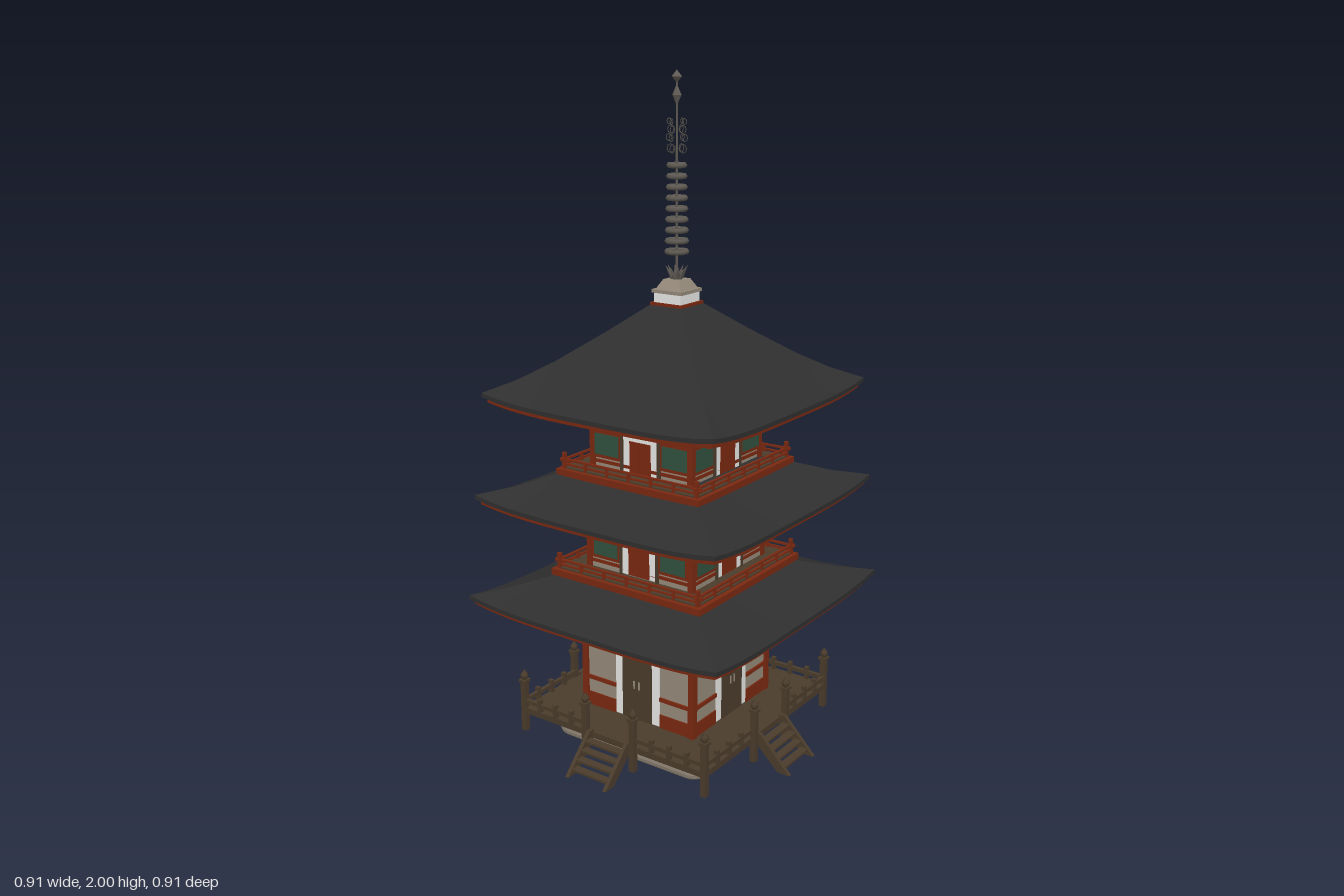
import * as THREE from 'three';
import { toCreasedNormals } from 'three/addons/utils/BufferGeometryUtils.js';

const mat = (name, color) => Object.assign(new THREE.MeshStandardMaterial({ color }), { name });
const tile = mat('roofTile', 0x2f2f30);
const red = mat('redLacquer', 0x7a2811);
const plaster = mat('tanPlaster', 0x958a7a);
const white = mat('whitePanel', 0xf2f2f0);
const wood = mat('darkWood', 0x4a3c2b);
const green = mat('greenWindow', 0x30503f);
const metal = mat('spireMetal', 0x5f5a53);
const soffitMat = mat('soffit', 0x6a645b);

function add(parent, name, geometry, material, x = 0, y = 0, z = 0) {
  const m = new THREE.Mesh(geometry, material);
  m.name = name;
  m.position.set(x, y, z);
  parent.add(m);
  return m;
}
// Box given by its bottom and top heights
function box(parent, name, material, w, y0, y1, d, x = 0, z = 0) {
  return add(parent, name, new THREE.BoxGeometry(w, y1 - y0, d), material, x, (y0 + y1) / 2, z);
}
// Repeats a part on all four sides; each side is built facing +z
function fourSides(parent, name, build) {
  for (let i = 0; i < 4; i++) {
    const side = new THREE.Group();
    side.name = name;
    side.rotation.y = i * Math.PI / 2;
    build(side, i);
    parent.add(side);
  }
}

// Four-sided shell from a [halfWidth, y] profile, with the corners swept up
function squareLoft(profile, max, lift) {
  const pos = [], index = [], n = 14;
  for (let s = 0; s < 4; s++) {
    const base = pos.length / 3, c = Math.cos(s * Math.PI / 2), d = Math.sin(s * Math.PI / 2);
    profile.forEach(([h, y]) => {
      for (let i = 0; i <= n; i++) {
        const u = 2 * i / n - 1, x = u * h;
        pos.push(x * c + h * d, y + lift * (h / max * Math.abs(u)) ** 4, h * c - x * d);
      }
    });
    for (let j = 0; j < profile.length - 1; j++) {
      for (let i = 0; i < n; i++) {
        const a = base + j * (n + 1) + i, e = a + n + 1;
        index.push(a, e, e + 1, a, e + 1, a + 1);
      }
    }
  }
  const g = new THREE.BufferGeometry();
  g.setAttribute('position', new THREE.Float32BufferAttribute(pos, 3));
  g.setIndex(index);
  return toCreasedNormals(g, 0.45);
}

function roof(parent, slope, wall, lift) {
  const g = new THREE.Group();
  g.name = 'roof';
  const [max, eave] = slope[slope.length - 1], b = eave - 0.013;
  add(g, 'roofTiles', squareLoft([...slope, [max, b], [max - 0.02, b]], max, lift), tile);
  add(g, 'soffit', squareLoft([[max - 0.02, b], [wall, b + 0.012]], max, lift), soffitMat);
  for (const [r, t] of [[max - 0.012, 0.014], [max - 0.05, 0.012]]) {
    add(g, 'eaveBeam', squareLoft([[r, b + 0.003], [r, b - t], [r - 0.016, b - t], [r - 0.016, b + 0.003]], max, lift), red);
  }
  // Stepped brackets below the eave
  fourSides(g, 'brackets', side => {
    for (const f of [-0.86, -0.3, 0.3, 0.86]) {
      for (let k = 0; k < 3; k++) {
        const y = b - 0.066 + k * 0.023, out = 0.03 + 0.035 * k, x = f * wall;
        box(side, 'bracketArm', red, 0.014, y, y + 0.012, out, x, wall + out / 2);
        box(side, 'bracketBlock', k === 1 ? plaster : red, 0.045 + 0.014 * k, y + 0.009, y + 0.019, 0.014, x, wall + out - 0.006);
      }
    }
    box(side, 'purlin', red, 2 * wall + 0.2, b - 0.012, b, 0.014, 0, wall + 0.1);
    // Diagonal arms and hip beam at the corner
    const corner = new THREE.Group();
    corner.name = 'cornerBrackets';
    corner.rotation.y = Math.PI / 4;
    side.add(corner);
    const start = wall * Math.SQRT2, end = (max - 0.03) * Math.SQRT2;
    for (let k = 0; k < 3; k++) {
      const len = 0.06 + 0.045 * k, y = b - 0.066 + k * 0.023;
      box(corner, 'cornerArm', red, 0.016, y, y + 0.013, len, 0, start + len / 2);
    }
    const hip = box(corner, 'hipBeam', red, 0.018, b - 0.012, b + 0.006, end - start, 0, (start + end) / 2);
    hip.rotation.x = -0.05;
  });
  parent.add(g);
}

function balcony(parent, half, y) {
  const g = new THREE.Group();
  g.name = 'balcony';
  box(g, 'balconySkirt', red, 2 * half, y, y + 0.02, 2 * half);
  box(g, 'balconyFloor', wood, 2 * half - 0.03, y + 0.02, y + 0.024, 2 * half - 0.03);
  fourSides(g, 'balconyRailing', side => {
    const z = half - 0.018;
    box(side, 'railLower', red, 2 * z, y + 0.03, y + 0.035, 0.007, 0, z);
    box(side, 'railUpper', red, 2 * z + 0.03, y + 0.044, y + 0.05, 0.008, 0, z);
    for (let i = -3; i < 3; i++) box(side, 'railPost', red, 0.008, y + 0.02, y + 0.047, 0.008, i * z / 3, z);
    box(side, 'railCornerPost', red, 0.011, y + 0.02, y + 0.068, 0.011, z, z);
  });
  parent.add(g);
}

function upperStorey(parent, w, y0, top, upperWall) {
  const g = new THREE.Group();
  g.name = 'upperStorey';
  box(g, 'wall', plaster, 2 * w, y0, y0 + 0.125, 2 * w);
  box(g, 'upperWall', upperWall, 2 * w - 0.004, y0 + 0.125, top, 2 * w - 0.004);
  fourSides(g, 'storeySide', side => {
    box(side, 'doorSurround', white, 0.125, y0 + 0.01, y0 + 0.118, 0.004, 0, w + 0.001);
    for (const s of [-1, 1]) {
      box(side, 'door', red, 0.037, y0 + 0.01, y0 + 0.107, 0.008, s * 0.0192, w + 0.001);
      box(side, 'windowFrame', red, 0.108, y0 + 0.038, y0 + 0.12, 0.008, s * 0.122, w);
      box(side, 'window', green, 0.088, y0 + 0.048, y0 + 0.112, 0.008, s * 0.122, w + 0.002);
      box(side, 'doorPost', wood, 0.01, y0, y0 + 0.12, 0.012, s * 0.066, w);
    }
    box(side, 'cornerColumn', red, 0.018, y0, top, 0.018, w - 0.003, w - 0.003);
    box(side, 'sillBeam', red, 2 * w, y0 + 0.022, y0 + 0.032, 0.01, 0.0, w - 0.002);
    box(side, 'lintelBeam', red, 2 * w + 0.02, y0 + 0.12, y0 + 0.132, 0.016, 0, w);
    box(side, 'friezeBeam', upperWall === red ? wood : red, 2 * w + 0.03, y0 + 0.142, y0 + 0.152, 0.016, 0, w);
  });
  parent.add(g);
}

function lowerStorey(parent) {
  const g = new THREE.Group(), w = 0.2;
  g.name = 'lowerStorey';
  box(g, 'wall', plaster, 2 * w, 0.09, 0.45, 2 * w);
  fourSides(g, 'storeySide', side => {
    box(side, 'doorSurround', white, 0.162, 0.1, 0.343, 0.004, 0, w + 0.001);
    for (const s of [-1, 1]) {
      box(side, 'door', wood, 0.053, 0.1, 0.325, 0.009, s * 0.0272, w + 0.002);
      box(side, 'doorHandle', plaster, 0.005, 0.2, 0.225, 0.014, s * 0.009, w + 0.002);
      box(side, 'midBeam', red, 0.12, 0.184, 0.196, 0.012, s * 0.142, w);
      box(side, 'baseBeam', red, 0.12, 0.09, 0.14, 0.01, s * 0.142, w - 0.001);
    }
    box(side, 'cornerColumn', red, 0.02, 0.09, 0.44, 0.02, w - 0.002, w - 0.002);
    box(side, 'lintelBeam', red, 2 * w + 0.015, 0.343, 0.357, 0.016, 0, w);
    box(side, 'friezeBeam', red, 2 * w + 0.03, 0.395, 0.405, 0.014, 0, w);
    box(side, 'centreStrut', red, 0.03, 0.357, 0.425, 0.014, 0, w);
  });
  parent.add(g);
}

function post(parent, x, z) {
  box(parent, 'post', wood, 0.018, 0.02, 0.185, 0.018, x, z);
  box(parent, 'postCollar', wood, 0.026, 0.182, 0.19, 0.026, x, z);
  const profile = [[0.007, 0], [0.012, 0.009], [0.011, 0.018], [0, 0.032]].map(p => new THREE.Vector2(...p));
  add(parent, 'postFinial', new THREE.LatheGeometry(profile, 8), wood, x, 0.189, z);
}

function platform(parent) {
  const g = new THREE.Group();
  g.name = 'platform';
  // Rounded stone base
  const a = 0.25, r = 0.03, s = new THREE.Shape();
  for (let i = 0; i < 4; i++) {
    const q = i * Math.PI / 2;
    const cx = (a - r) * (i === 0 || i === 3 ? 1 : -1), cy = (a - r) * (i < 2 ? 1 : -1);
    s.absarc(cx, cy, r, q, q + Math.PI / 2, false);
  }
  const stone = new THREE.ExtrudeGeometry(s, {
    depth: 0.036, bevelThickness: 0.022, bevelSize: 0.025, bevelSegments: 3, curveSegments: 5
  });
  stone.rotateX(-Math.PI / 2);
  add(g, 'stoneBase', stone, plaster, 0, 0.022, 0);
  box(g, 'deck', wood, 0.68, 0.078, 0.097, 0.68);
  fourSides(g, 'deckSide', side => {
    const z = 0.335;
    for (const m of [-1, 1]) {
      box(side, 'deckRail', wood, 0.245, 0.113, 0.125, 0.012, m * 0.2125, z);
      for (let i = 0; i < 3; i++) box(side, 'railStub', wood, 0.012, 0.097, 0.138, 0.014, m * (0.15 + i * 0.062), z);
      post(side, m * 0.088, z + 0.008);
      // Sloping stair sides
      const str = new THREE.Shape([[0.335, 0.105], [0.355, 0.105], [0.457, 0], [0.418, 0], [0.335, 0.078]].map(p => new THREE.Vector2(...p)));
      const geo = new THREE.ExtrudeGeometry(str, { depth: 0.012, bevelEnabled: false });
      geo.rotateY(-Math.PI / 2);
      add(side, 'stairStringer', geo, wood, m * 0.069 + 0.006);
    }
    for (let i = 0; i < 4; i++) {
      const y = 0.014 + i * 0.021;
      box(side, 'stairTread', wood, 0.13, y, y + 0.007, 0.026, 0, 0.427 - i * 0.021);
    }
    post(side, z, z);
  });
  parent.add(g);
}

function spire(parent) {
  const g = new THREE.Group();
  g.name = 'spire';
  box(g, 'spireBaseTrim', red, 0.112, 1.336, 1.35, 0.112);
  box(g, 'spireBase', white, 0.094, 1.35, 1.38, 0.094);
  box(g, 'spireBaseCap', plaster, 0.104, 1.378, 1.388, 0.104);
  const cap = new THREE.CylinderGeometry(0.028 * Math.SQRT2, 0.044 * Math.SQRT2, 0.028, 4).toNonIndexed();
  cap.rotateY(Math.PI / 4);
  cap.computeVertexNormals();
  add(g, 'spireStep', cap, plaster, 0, 1.402, 0);
  // Lotus petals
  for (let i = 0; i < 8; i++) {
    const petal = add(g, 'lotusPetal', new THREE.ConeGeometry(0.009, 0.045, 4), metal);
    const q = i * Math.PI / 4;
    petal.position.set(0.021 * Math.sin(q), 1.436, 0.021 * Math.cos(q));
    petal.rotation.set(0.55, q, 0, 'YXZ');
  }
  add(g, 'spirePole', new THREE.CylinderGeometry(0.003, 0.004, 0.56, 6), metal, 0, 1.69, 0);
  // Nine stacked rings
  for (let i = 0; i < 9; i++) {
    const geo = new THREE.TorusGeometry(0.03 - i * 0.0008, 0.0075, 5, 10);
    geo.rotateX(Math.PI / 2);
    add(g, 'spireRing', geo, metal, 0, 1.495 + i * 0.0305, 0);
  }
  // Openwork flame
  fourSides(g, 'spireFlame', side => {
    for (const [x, y, r] of [[0.022, 1.785, 0.012], [0.027, 1.815, 0.01], [0.021, 1.838, 0.011], [0.026, 1.86, 0.008]]) {
      add(side, 'flameCurl', new THREE.TorusGeometry(r, 0.0014, 3, 8), metal, x, y, 0);
    }
  });
  const lower = add(g, 'lowerJewel', new THREE.OctahedronGeometry(0.016), metal, 0, 1.932, 0);
  lower.scale.y = 1.9;
  add(g, 'upperJewel', new THREE.OctahedronGeometry(0.018), metal, 0, 1.982, 0);
  parent.add(g);
}

export function createModel() {
  const pagoda = new THREE.Group();
  pagoda.name = 'pagoda';
  platform(pagoda);
  lowerStorey(pagoda);
  roof(pagoda, [[0.18, 0.552], [0.27, 0.52], [0.36, 0.486], [0.445, 0.457]], 0.2, 0.02);
  balcony(pagoda, 0.27, 0.528);
  upperStorey(pagoda, 0.188, 0.546, 0.775, red);
  roof(pagoda, [[0.17, 0.872], [0.26, 0.84], [0.34, 0.804], [0.425, 0.772]], 0.188, 0.02);
  balcony(pagoda, 0.255, 0.842);
  upperStorey(pagoda, 0.178, 0.858, 1.085, plaster);
  roof(pagoda, [[0.05, 1.347], [0.15, 1.264], [0.25, 1.184], [0.33, 1.126], [0.403, 1.08]], 0.178, 0.02);
  spire(pagoda);
  return pagoda;
}
